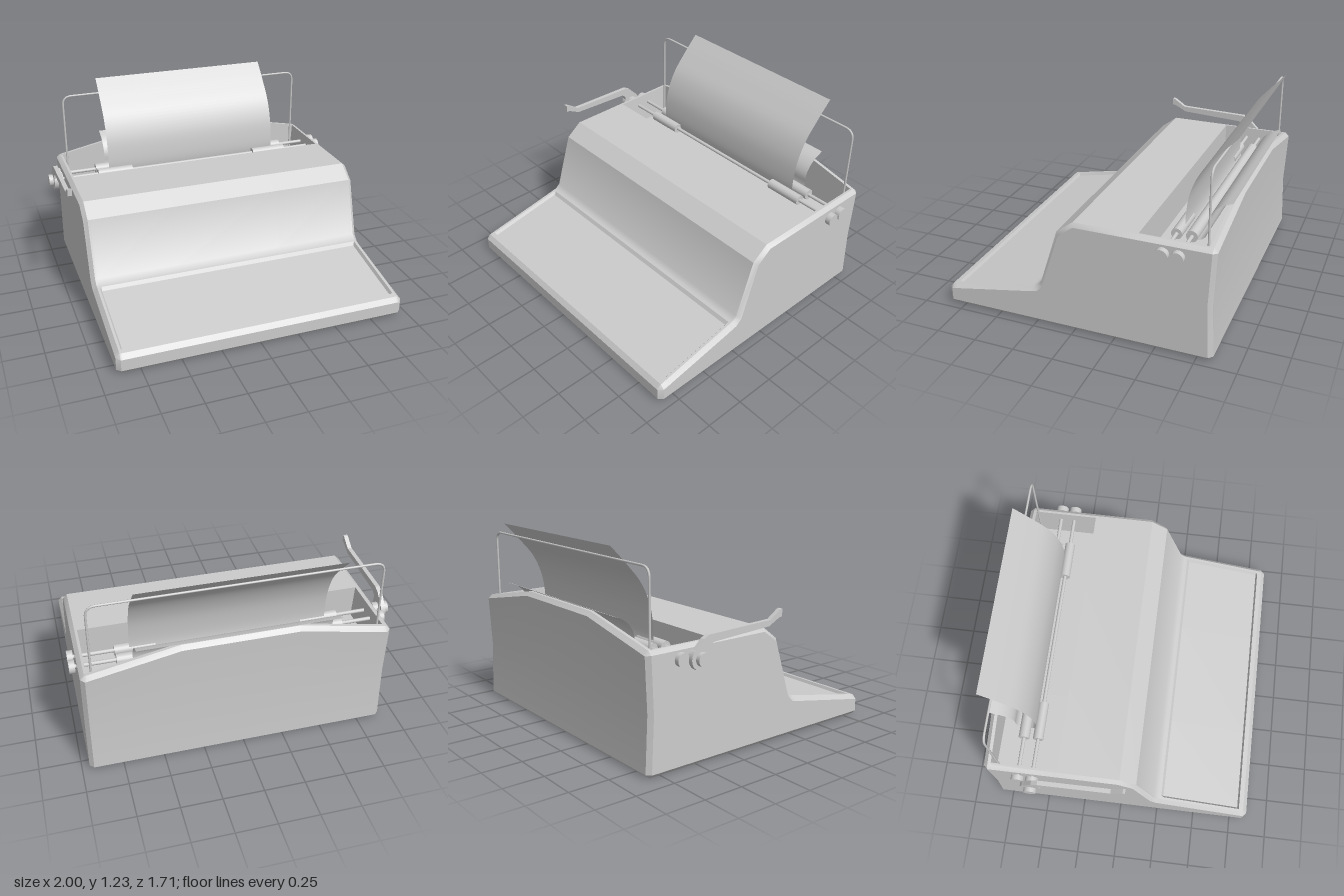
import * as THREE from 'three';
import { toCreasedNormals } from 'three/addons/utils/BufferGeometryUtils.js';

const CX = 0.03; // the housing is centred slightly off the knobs
const grey = new THREE.MeshStandardMaterial({ color: 0xcccccc });
const thin = new THREE.MeshStandardMaterial({ color: 0xcccccc, side: THREE.DoubleSide });

// Side profiles as [z, y], from the bottom front, over the top, to the bottom back
const FULL = [
  [0.83, 0], [0.855, 0.025], [0.855, 0.1], [0.83, 0.13],
  [0.8, 0.136], [0.79, 0.138], [0.285, 0.238], [0.27, 0.241],
  [0.25, 0.245], [0.22, 0.27], [0.105, 0.63], [0, 0.71],
  [-0.39, 0.71], [-0.39, 0.71], [-0.8, 0.71], [-0.8, 0.71],
  [-0.82, 0.71], [-0.845, 0.685], [-0.83, 0.36], [-0.845, 0.025], [-0.82, 0],
];
const END = [
  [0.83, 0.025], [0.83, 0.025], [0.83, 0.105], [0.83, 0.105],
  [0.8, 0.11], [0.79, 0.112], [0.285, 0.207], [0.27, 0.21],
  [0.24, 0.217], [0.2, 0.255], [0.087, 0.615], [-0.008, 0.688],
  [-0.39, 0.688], [-0.39, 0.688], [-0.8, 0.688], [-0.8, 0.688],
  [-0.82, 0.688], [-0.82, 0.688], [-0.805, 0.36], [-0.82, 0.025], [-0.82, 0.025],
];

// One cross-section of the housing: optional recesses, and a back wall that rises to the middle
function section(x, recessed) {
  const rise = 0.11 * THREE.MathUtils.clamp((0.9 - Math.abs(x - CX)) / 0.55, 0, 1);
  return FULL.map(([z, y], j) => {
    if (recessed && (j === 5 || j === 6)) y -= 0.02;
    if (recessed && (j === 13 || j === 14)) y = 0.5;
    if (j >= 15 && j <= 17) y += rise;
    return new THREE.Vector3(x, y, z);
  });
}

function housingGeometry() {
  const end = (x) => END.map(([z, y]) => new THREE.Vector3(x, y, z));
  const sections = [
    end(CX - 0.925), section(CX - 0.9, false), section(CX - 0.885, false), section(CX - 0.873, true),
    section(CX - 0.35, true), section(CX + 0.35, true),
    section(CX + 0.873, true), section(CX + 0.885, false), section(CX + 0.9, false), end(CX + 0.925),
  ];
  const pos = [];
  const tri = (a, b, c) => {
    const area = b.clone().sub(a).cross(c.clone().sub(a)).length();
    if (area > 1e-9) pos.push(...a, ...b, ...c);
  };
  const n = FULL.length;
  for (let i = 0; i < sections.length - 1; i++) {
    const p = sections[i], q = sections[i + 1];
    for (let j = 0; j < n; j++) {
      const k = (j + 1) % n;
      tri(p[j], q[j], q[k]);
      tri(p[j], q[k], p[k]);
    }
  }
  // Flat side faces
  const first = sections[0], last = sections[sections.length - 1];
  const outline = END.map(([z, y]) => new THREE.Vector2(-z, y));
  for (const [a, b, c] of THREE.ShapeUtils.triangulateShape(outline, [])) {
    tri(last[a], last[b], last[c]);
    tri(first[a], first[c], first[b]);
  }
  const g = new THREE.BufferGeometry();
  g.setAttribute('position', new THREE.Float32BufferAttribute(pos, 3));
  return toCreasedNormals(g, 0.6);
}

export function createModel() {
  const model = new THREE.Group();
  const add = (name, geometry, material = grey) => {
    const mesh = new THREE.Mesh(geometry, material);
    mesh.name = name;
    model.add(mesh);
    return mesh;
  };
  // Cylinder lying along x
  const bar = (name, x0, x1, y, z, r, sides = 20) => {
    const g = new THREE.CylinderGeometry(r, r, x1 - x0, sides);
    g.rotateZ(Math.PI / 2);
    add(name, g).position.set((x0 + x1) / 2, y, z);
  };

  add('housing', housingGeometry());

  // Carriage rods, rollers and knobs
  const Y = 0.64, FRONT = -0.545, BACK = -0.635;
  bar('frontRod', -0.99, 0.99, Y, FRONT, 0.012, 12);
  bar('backRod', -0.93, 0.99, Y, BACK, 0.012, 12);
  bar('platenRoller', -0.66, 0.725, Y, BACK, 0.035);
  bar('rightPaperRoller', -0.66, -0.42, Y, FRONT, 0.033);
  bar('leftPaperRoller', 0.48, 0.725, Y, FRONT, 0.033);
  bar('leftFrontKnob', 0.965, 1, Y, FRONT, 0.04);
  bar('leftBackKnob', 0.965, 1, Y, BACK, 0.04);
  bar('rightFrontKnob', -1, -0.972, Y, FRONT, 0.04);
  bar('rightInnerKnob', -0.94, -0.905, Y, FRONT, 0.04);
  bar('rightBackKnob', -0.935, -0.905, Y, BACK, 0.04);

  // Carriage return lever: a cranked arm on a round hub
  bar('leverHub', -0.97, -0.942, Y, FRONT, 0.065, 24);
  const arm = new THREE.Shape([
    [0.05, 0.83], [0.035, 0.828], [-0.04, 0.778], [-0.49, 0.765], [-0.53, 0.747], [-0.585, 0.69],
    [-0.55, 0.64], [-0.49, 0.66], [-0.485, 0.7], [-0.46, 0.72], [-0.05, 0.742], [0.03, 0.783], [0.05, 0.785],
  ].map(([z, y]) => new THREE.Vector2(-z, y)));
  const armGeometry = new THREE.ExtrudeGeometry(arm, { depth: 0.028, bevelEnabled: false });
  armGeometry.rotateY(Math.PI / 2);
  add('returnLever', armGeometry).position.x = -0.97;

  // Sheet of paper wrapped under the platen
  const path = new THREE.CatmullRomCurve3([
    [-0.85, 1.225], [-0.75, 1.12], [-0.65, 1.0], [-0.595, 0.88], [-0.573, 0.77], [-0.57, 0.65],
    [-0.589, 0.594], [-0.635, 0.575], [-0.681, 0.594], [-0.7, 0.64], [-0.7, 0.71],
    [-0.725, 0.765], [-0.775, 0.812], [-0.84, 0.84],
  ].map(([z, y]) => new THREE.Vector3(0, y, z)));
  const rows = 48;
  const paper = new THREE.PlaneGeometry(1.215, 1, 1, rows);
  const points = path.getSpacedPoints(rows);
  const p = paper.attributes.position;
  for (let i = 0; i < p.count; i++) {
    const q = points[Math.floor(i / 2)];
    p.setXYZ(i, p.getX(i) + CX, q.y, q.z);
  }
  paper.computeVertexNormals();
  add('paper', paper, thin);

  // Bent wire that supports the paper
  const wire = new THREE.CurvePath();
  const v = (x, y) => new THREE.Vector3(CX + x, y, -0.78);
  const w = 0.857, top = 1.14, r = 0.06;
  wire.add(new THREE.LineCurve3(v(-w, 0.5), v(-w, top - r)));
  wire.add(new THREE.QuadraticBezierCurve3(v(-w, top - r), v(-w, top), v(-w + r, top)));
  wire.add(new THREE.LineCurve3(v(-w + r, top), v(w - r, top)));
  wire.add(new THREE.QuadraticBezierCurve3(v(w - r, top), v(w, top), v(w, top - r)));
  wire.add(new THREE.LineCurve3(v(w, top - r), v(w, 0.5)));
  add('paperSupport', new THREE.TubeGeometry(wire, 160, 0.007, 8));

  return model;
}
